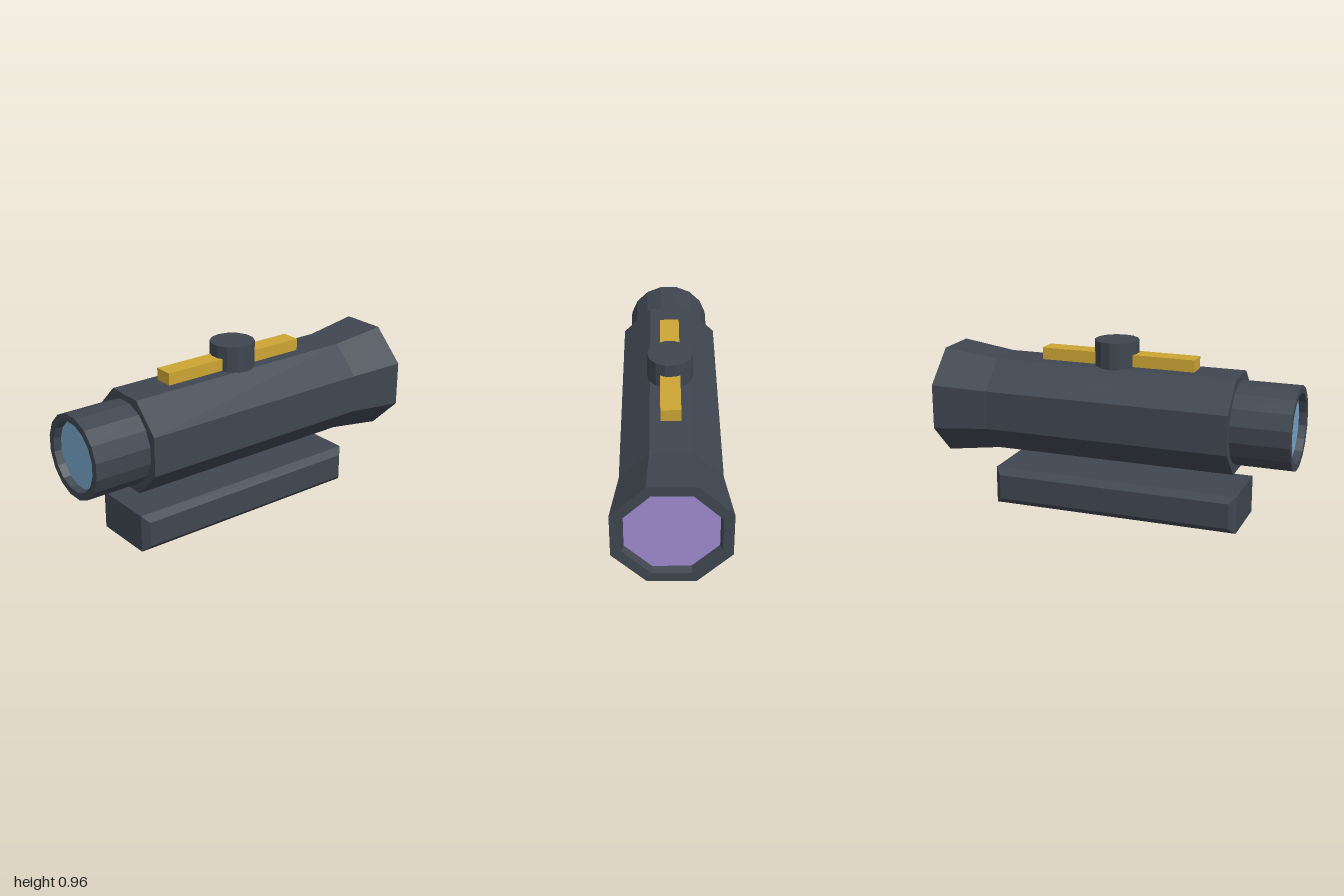
import * as THREE from 'three';

const AXIS_Y = 0.565;

// Split all faces so each facet gets its own flat normal
function faceted(geometry) {
  const flat = geometry.index ? geometry.toNonIndexed() : geometry;
  flat.computeVertexNormals();
  return flat;
}

// Faceted tube along x from [apothem, x] pairs, with flats facing up and sideways
function tubeAlongX(profile, sides) {
  const k = 1 / Math.cos(Math.PI / sides);
  const points = profile.map(([r, x]) => new THREE.Vector2(r * k, x));
  const geometry = new THREE.LatheGeometry(points, sides, Math.PI / sides);
  geometry.rotateZ(-Math.PI / 2);
  return faceted(geometry);
}

// Flat lens disc facing +x (dir 1) or -x (dir -1)
function lensDisc(apothem, sides, dir) {
  const radius = apothem / Math.cos(Math.PI / sides);
  return new THREE.CircleGeometry(radius, sides, Math.PI / sides).rotateY(dir * Math.PI / 2);
}

export function createModel() {
  const model = new THREE.Group();
  model.name = 'opticalSight';

  const material = (name, color) => {
    const m = new THREE.MeshStandardMaterial({ color });
    m.name = name;
    return m;
  };
  const gunmetal = material('gunmetal', 0x3f4650);
  const gold = material('gold', 0xcca434);
  const purple = material('purpleGlass', 0xa08ace);
  const blue = material('blueGlass', 0x76a4c6);

  const add = (name, geometry, mat, x, y, z = 0) => {
    const mesh = new THREE.Mesh(geometry, mat);
    mesh.name = name;
    mesh.position.set(x, y, z);
    model.add(mesh);
  };

  // Octagonal housing with flared, recessed front rim
  add('housing', tubeAlongX([
    [0, -0.68], [0.26, -0.68], [0.26, 0.69], [0.3, 1], [0.245, 1], [0.235, 0.96],
  ], 8), gunmetal, 0, AXIS_Y);
  add('frontLens', lensDisc(0.235, 8, 1), purple, 0.96, AXIS_Y);

  // Round eyepiece with a recessed lens
  add('eyepiece', tubeAlongX([
    [0.18, -0.96], [0.186, -1], [0.224, -1], [0.224, -0.68],
  ], 16), gunmetal, 0, AXIS_Y);
  add('rearLens', lensDisc(0.18, 16, -1), blue, -0.96, AXIS_Y);

  // Gold strip along the top, running through the knob
  add('topStrip', new THREE.BoxGeometry(0.872, 0.066, 0.106), gold, -0.003, 0.863);

  // Adjustment knob
  add('adjustmentKnob', faceted(new THREE.CylinderGeometry(0.122, 0.122, 0.145, 14)),
    gunmetal, 0.015, 0.8925);

  // Mounting base, bevelled on its two long sides
  const rect = new THREE.Shape();
  rect.moveTo(-0.7, 0);
  rect.lineTo(0.7, 0);
  rect.lineTo(0.7, 0.21);
  rect.lineTo(-0.7, 0.21);
  rect.closePath();
  const base = new THREE.ExtrudeGeometry(rect, {
    depth: 0.35, bevelEnabled: true, bevelSegments: 1,
    bevelThickness: 0.035, bevelSize: 0.035, bevelOffset: -0.035,
  });
  add('mountingBase', faceted(base), gunmetal, -0.02, 0, -0.175);

  return model;
}
